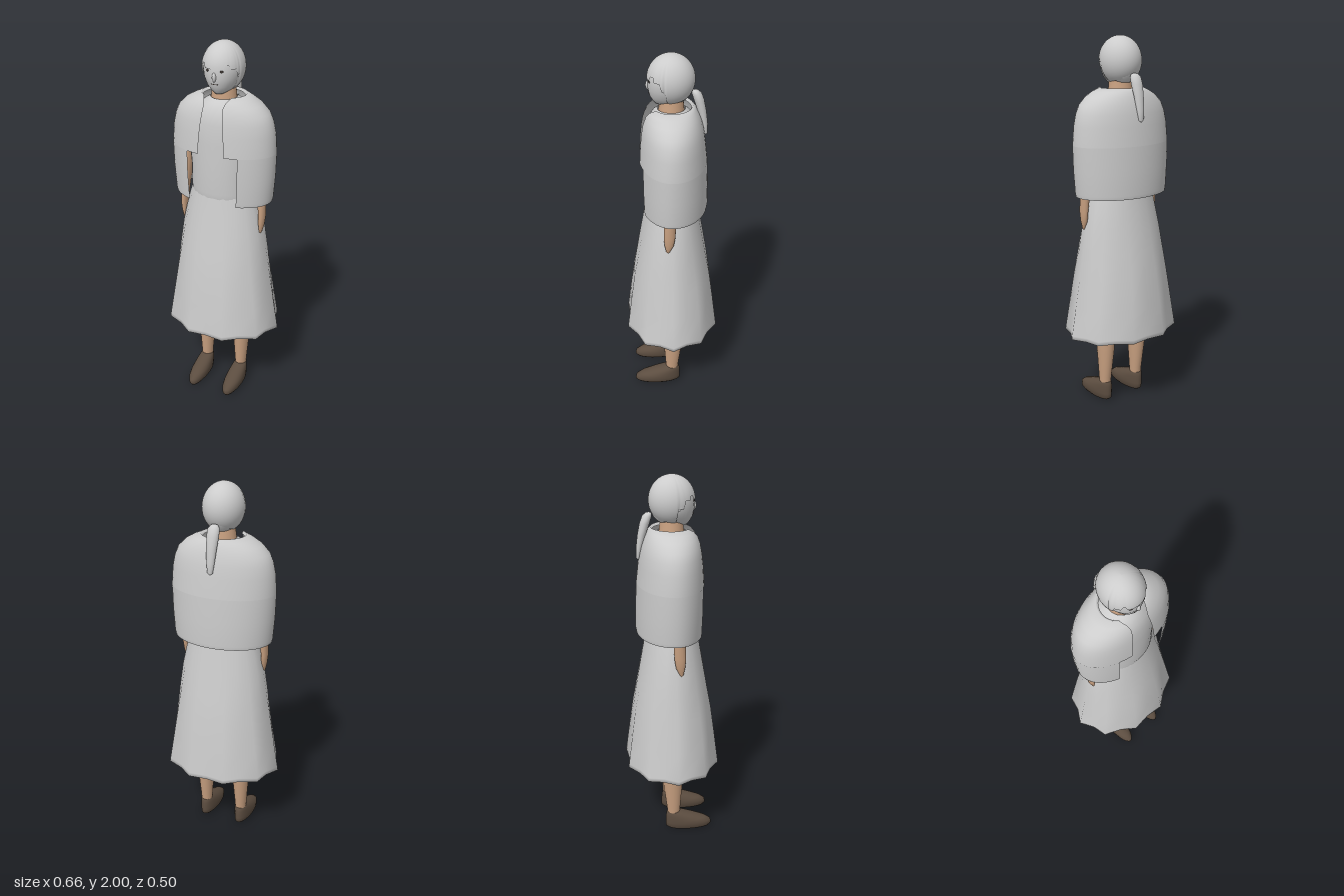
import * as THREE from 'three';

const mat = (name, color, side = THREE.FrontSide) => {
  const m = new THREE.MeshStandardMaterial({ color, side });
  m.name = name;
  return m;
};

// Skin a list of rows (bottom to top, each running left to right seen from outside)
function skinRows(rows, closed) {
  const n = rows[0].length, pos = [], idx = [];
  rows.forEach(r => r.forEach(p => pos.push(...p)));
  for (let i = 0; i < rows.length - 1; i++) {
    for (let j = 0; j < (closed ? n : n - 1); j++) {
      const k = (j + 1) % n;
      const a = i * n + j, b = i * n + k, c = a + n, d = b + n;
      idx.push(a, b, d, a, d, c);
    }
  }
  const g = new THREE.BufferGeometry();
  g.setAttribute('position', new THREE.Float32BufferAttribute(pos, 3));
  g.setIndex(idx);
  g.computeVertexNormals();
  return g;
}

// Stack of ellipses: [y, rx, rz, centreX, centreZ]
function loft(stations, n = 24, wave = () => 1) {
  return skinRows(stations.map(([y, rx, rz, cx = 0, cz = 0]) =>
    Array.from({ length: n }, (_, j) => {
      const a = j / n * Math.PI * 2, w = wave(a, y);
      return [cx + Math.sin(a) * rx * w, y, cz + Math.cos(a) * rz * w];
    })), true);
}

export function createModel() {
  const model = new THREE.Group();
  const cloth = mat('greyCloth', 0xcccccc, THREE.DoubleSide);
  const skin = mat('skin', 0xc8a080);
  const leather = mat('brownLeather', 0x5c4d40);
  const dark = mat('darkDetail', 0x443c38);
  const add = (name, geo, m, parent = model) => {
    const mesh = new THREE.Mesh(geo, m);
    mesh.name = name;
    parent.add(mesh);
    return mesh;
  };

  // Skirt with an inner hem and ten soft folds that fade upwards
  const folds = (a, y) => {
    const k = 0.045 * THREE.MathUtils.clamp((0.95 - y) / 0.54, 0, 1);
    return 1 - k + k * Math.cos(10 * (a - Math.PI / 2));
  };
  add('skirt', loft([
    [1.0, 0.22, 0.16], [0.75, 0.262, 0.208], [0.415, 0.318, 0.253], [0.41, 0.33, 0.264],
    [0.43, 0.327, 0.261], [0.58, 0.301, 0.241], [0.75, 0.272, 0.217], [0.88, 0.25, 0.192],
    [1.0, 0.23, 0.17], [1.1, 0.208, 0.152], [1.18, 0.188, 0.139], [1.235, 0.17, 0.13],
  ], 20, folds), cloth);

  // Blouse
  add('blouse', loft([
    [1.19, 0.172, 0.133], [1.23, 0.176, 0.139], [1.35, 0.176, 0.139], [1.5, 0.19, 0.139],
    [1.6, 0.185, 0.134], [1.66, 0.15, 0.12], [1.7, 0.1, 0.095], [1.72, 0.068, 0.07],
  ], 32), cloth);

  // Shawl: [y, rx, front depth, back depth, half opening]
  const shawlRows = [
    [1.18, 0.268, 0.162, 0.187, 0.132], [1.2, 0.272, 0.164, 0.19, 0.133],
    [1.32, 0.281, 0.168, 0.189, 0.138], [1.45, 0.285, 0.168, 0.183, 0.14],
    [1.451, 0.285, 0.168, 0.183, 0.072], [1.55, 0.278, 0.161, 0.172, 0.066],
    [1.61, 0.265, 0.154, 0.163, 0.06], [1.655, 0.245, 0.146, 0.152, 0.055],
    [1.695, 0.205, 0.132, 0.137, 0.052], [1.72, 0.16, 0.116, 0.122, 0.06],
    [1.738, 0.118, 0.098, 0.108, 0.075], [1.725, 0.106, 0.088, 0.098, 0.07],
  ];
  add('shawl', skinRows(shawlRows.map(([y, rx, zf, zb, w]) => {
    const start = Math.asin(w / rx), n = 48;
    return Array.from({ length: n + 1 }, (_, j) => {
      const a = start + (2 * Math.PI - 2 * start) * j / n, c = Math.cos(a);
      return [Math.sin(a) * rx, y, c * (c > 0 ? zf : zb)];
    });
  }), false), cloth);

  // Neck
  add('neck', loft([[1.68, 0.075, 0.07], [1.72, 0.066, 0.064], [1.8, 0.058, 0.056]]), skin);

  // Head with a narrower chin
  const head = new THREE.Group();
  head.name = 'head';
  model.add(head);
  add('face', loft([
    [1.746, 0, 0, 0, 0.035], [1.749, 0.028, 0.045, 0, 0.035], [1.765, 0.053, 0.08, 0, 0.012],
    [1.79, 0.076, 0.1, 0, 0.007], [1.83, 0.094, 0.112, 0, 0.004], [1.875, 0.102, 0.114, 0, 0.003],
    [1.92, 0.096, 0.107, 0, 0.002], [1.96, 0.074, 0.083], [1.985, 0.045, 0.05], [1.993, 0, 0],
  ], 32), cloth, head);

  // Hair shell; its lower edge follows the hairline
  const hairline = az => {
    const d = Math.abs(az) * 180 / Math.PI;
    if (d < 30) return 86;
    if (d < 45) return 76;
    if (d < 62) return 86;
    return d < 75 ? 104 : THREE.MathUtils.lerp(148, 132, (d - 75) / 105);
  };
  const hairRows = [];
  for (let i = 16; i >= 0; i--) {
    hairRows.push(Array.from({ length: 72 }, (_, j) => {
      const az = (j / 72) * 2 * Math.PI - Math.PI;
      const p = hairline(az) * Math.PI / 180 * i / 16;
      return [Math.sin(az) * Math.sin(p) * 0.108, 1.873 + Math.cos(p) * 0.127,
        0.002 + Math.cos(az) * Math.sin(p) * 0.119];
    }));
  }
  add('hair', skinRows(hairRows, true), cloth, head);

  // Ponytail hanging over the shawl
  add('ponytail', loft([
    [1.57, 0, 0, 0, -0.172], [1.58, 0.014, 0.01, 0, -0.172], [1.63, 0.021, 0.016, 0, -0.166],
    [1.7, 0.027, 0.022, 0, -0.152], [1.76, 0.032, 0.026, 0, -0.136],
    [1.795, 0.03, 0.025, 0, -0.124], [1.81, 0.018, 0.015, 0, -0.117], [1.815, 0, 0, 0, -0.115],
  ], 16), cloth, head);

  // Nose and mouth
  add('nose', new THREE.SphereGeometry(1, 12, 8), cloth, head).scale.set(0.011, 0.024, 0.013);
  head.getObjectByName('nose').position.set(0, 1.842, 0.114);
  add('mouth', new THREE.BoxGeometry(0.038, 0.003, 0.006), dark, head).position.set(0, 1.806, 0.108);

  for (const s of [1, -1]) {
    // Eyes
    const eye = add('eye', new THREE.SphereGeometry(1, 12, 8), dark, head);
    eye.scale.set(0.009, 0.006, 0.004);
    eye.position.set(s * 0.038, 1.873, 0.109);
    eye.rotation.y = s * 0.35;

    // Arm and hand
    add('arm', loft([
      [1.0, 0, 0, s * 0.224, 0.026], [1.008, 0.007, 0.009, s * 0.224, 0.026],
      [1.05, 0.015, 0.024, s * 0.226, 0.02], [1.1, 0.018, 0.03, s * 0.228, 0.018],
      [1.17, 0.022, 0.031, s * 0.224, 0.015], [1.38, 0.035, 0.038, s * 0.212, 0],
      [1.58, 0.042, 0.045, s * 0.19, 0], [1.63, 0.03, 0.03, s * 0.18, 0], [1.64, 0, 0, s * 0.18, 0],
    ], 16), skin);

    // Leg
    add('leg', loft([
      [0.09, 0.03, 0.034, s * 0.108, 0], [0.14, 0.033, 0.038, s * 0.108, 0],
      [0.3, 0.045, 0.055, s * 0.108, -0.005], [0.42, 0.05, 0.06, s * 0.107, -0.005],
      [0.6, 0.052, 0.06, s * 0.105, 0], [0.95, 0.075, 0.08, s * 0.095, 0],
    ], 20), skin);

    // Shoe
    add('shoe', loft([
      [0, 0, 0, s * 0.108, 0.085], [0, 0.034, 0.115, s * 0.108, 0.09],
      [0.015, 0.046, 0.131, s * 0.108, 0.086], [0.04, 0.049, 0.129, s * 0.108, 0.084],
      [0.06, 0.048, 0.114, s * 0.108, 0.069], [0.085, 0.042, 0.08, s * 0.108, 0.036],
      [0.105, 0.034, 0.048, s * 0.108, 0.008], [0.115, 0.024, 0.03, s * 0.108, 0],
      [0.117, 0, 0, s * 0.108, 0],
    ], 24), leather);
  }
  return model;
}
